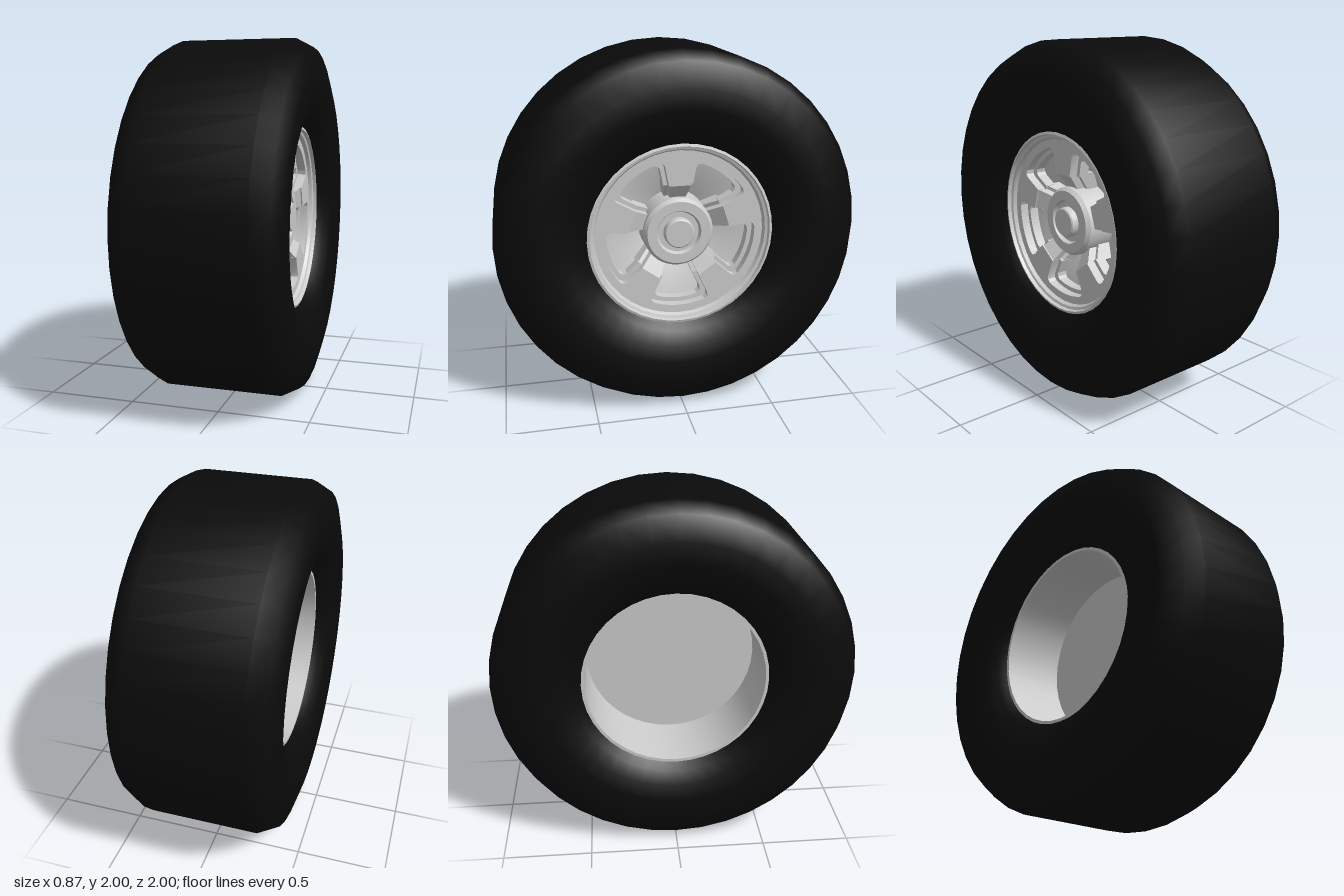
import * as THREE from 'three';
import { toCreasedNormals } from 'three/addons/utils/BufferGeometryUtils.js';

const SPOKES = 5;
const STEP = (Math.PI * 2) / SPOKES;
const grey = new THREE.MeshStandardMaterial({ color: 0xcccccc });
const rubber = new THREE.MeshStandardMaterial({ color: 0x0a0a0a });

// Revolve [radius, x] pairs about the axle
function revolve(name, pairs, material, smooth = false) {
  let geo = new THREE.LatheGeometry(pairs.map(([r, x]) => new THREE.Vector2(r, x)), 40);
  geo.rotateZ(-Math.PI / 2);
  if (!smooth) geo = toCreasedNormals(geo, 0.5);
  const mesh = new THREE.Mesh(geo, material);
  mesh.name = name;
  return mesh;
}

// Half-width of a spoke at a radius, widening towards the rim
const spokeHalf = (r, extra) => 0.008 + 0.19 * r + extra;

// Ring with five inward spokes, cut as one hole with rounded window corners
function spokePlate(name, outer, windowR, extra, x0, x1) {
  const shape = new THREE.Shape().absarc(0, 0, outer, 0, Math.PI * 2);
  const rootR = 0.28;
  const pts = [];
  const polar = (r, a) => pts.push(new THREE.Vector2(r * Math.cos(a), r * Math.sin(a)));
  for (let k = 0; k < SPOKES; k++) {
    const from = Math.PI / 2 + k * STEP, to = from + STEP;
    const edge = (r) => Math.asin(spokeHalf(r, extra) / r);
    const rc = windowR - 0.03;
    polar(rootR, from + edge(rootR));
    polar(rc, from + edge(rc));
    polar(windowR - 0.009, from + edge(rc) + 0.02);
    const a0 = from + edge(rc) + 0.07, a1 = to - edge(rc) - 0.07;
    for (let i = 0; i <= 8; i++) polar(windowR, a0 + ((a1 - a0) * i) / 8);
    polar(windowR - 0.009, to - edge(rc) - 0.02);
    polar(rc, to - edge(rc));
    polar(rootR, to - edge(rootR));
  }
  shape.holes.push(new THREE.Path(pts));
  const geo = new THREE.ExtrudeGeometry(shape, { depth: x1 - x0, bevelEnabled: false, curveSegments: 20 });
  geo.translate(0, 0, x0);
  geo.rotateY(Math.PI / 2);
  const mesh = new THREE.Mesh(toCreasedNormals(geo, 0.4), grey);
  mesh.name = name;
  return mesh;
}

// Sloping foot that joins each spoke to the hub
function spokeRoot(k, extra, topX, hubX) {
  const side = new THREE.Shape([[0.05, 0.18], [topX, 0.285], [0.05, 0.285]].map(([x, r]) => new THREE.Vector2(x, r)));
  side.curves.length = 0;
  side.setFromPoints([[0.05, 0.18], [0.05, 0.282], [topX, 0.282], [hubX, 0.18]].map(([x, r]) => new THREE.Vector2(x, r)));
  const geo = new THREE.ExtrudeGeometry(side, { depth: 2, bevelEnabled: false });
  geo.translate(0, 0, -1);
  // Taper the width with the radius
  const p = geo.attributes.position;
  for (let i = 0; i < p.count; i++) p.setZ(i, p.getZ(i) * spokeHalf(p.getY(i), extra));
  geo.computeVertexNormals();
  geo.rotateX(k * STEP);
  const mesh = new THREE.Mesh(geo, grey);
  mesh.name = 'spokeRoot';
  return mesh;
}

export function createModel() {
  const wheel = new THREE.Group();
  wheel.name = 'wheel';

  // Tyre, mirrored across its middle
  const half = [[0.51, 0.325], [0.55, 0.37], [0.62, 0.41], [0.71, 0.433], [0.82, 0.437], [0.95, 0.4], [1, 0.305]];
  const tyreProfile = [...half.map(([r, x]) => [r, -x]), ...half.slice().reverse()];
  wheel.add(revolve('tyre', tyreProfile, rubber, true));

  const rim = new THREE.Group();
  rim.name = 'rim';

  // Open barrel and closed back disc
  rim.add(revolve('barrel', [[0, 0.04], [0.49, 0.04], [0.497, -0.33], [0.515, -0.33]], grey));

  // Stepped front lip
  rim.add(revolve('lip', [[0.515, 0.31], [0.515, 0.33], [0.5, 0.335], [0.495, 0.315], [0.48, 0.31], [0.47, 0.29]], grey));

  // Face with windows, ledge behind it, dished floor
  rim.add(spokePlate('face', 0.475, 0.425, 0, 0.24, 0.29));
  rim.add(spokePlate('windowLedge', 0.475, 0.4, 0.022, 0.18, 0.24));
  rim.add(revolve('windowFloor', [[0.475, 0.19], [0.4, 0.185], [0.19, 0.09]], grey));
  for (let k = 0; k < SPOKES; k++) {
    rim.add(spokeRoot(k, 0, 0.289, 0.215));
    rim.add(spokeRoot(k, 0.022, 0.239, 0.165));
  }

  // Hub with a recessed ring and raised centre cap
  rim.add(revolve('hub', [
    [0.2, 0.06], [0.195, 0.25], [0.178, 0.272], [0.125, 0.272], [0.115, 0.25],
    [0.085, 0.25], [0.083, 0.285], [0.076, 0.292], [0, 0.292],
  ], grey));

  wheel.add(rim);
  wheel.position.y = 1;
  const model = new THREE.Group();
  model.add(wheel);
  return model;
}
